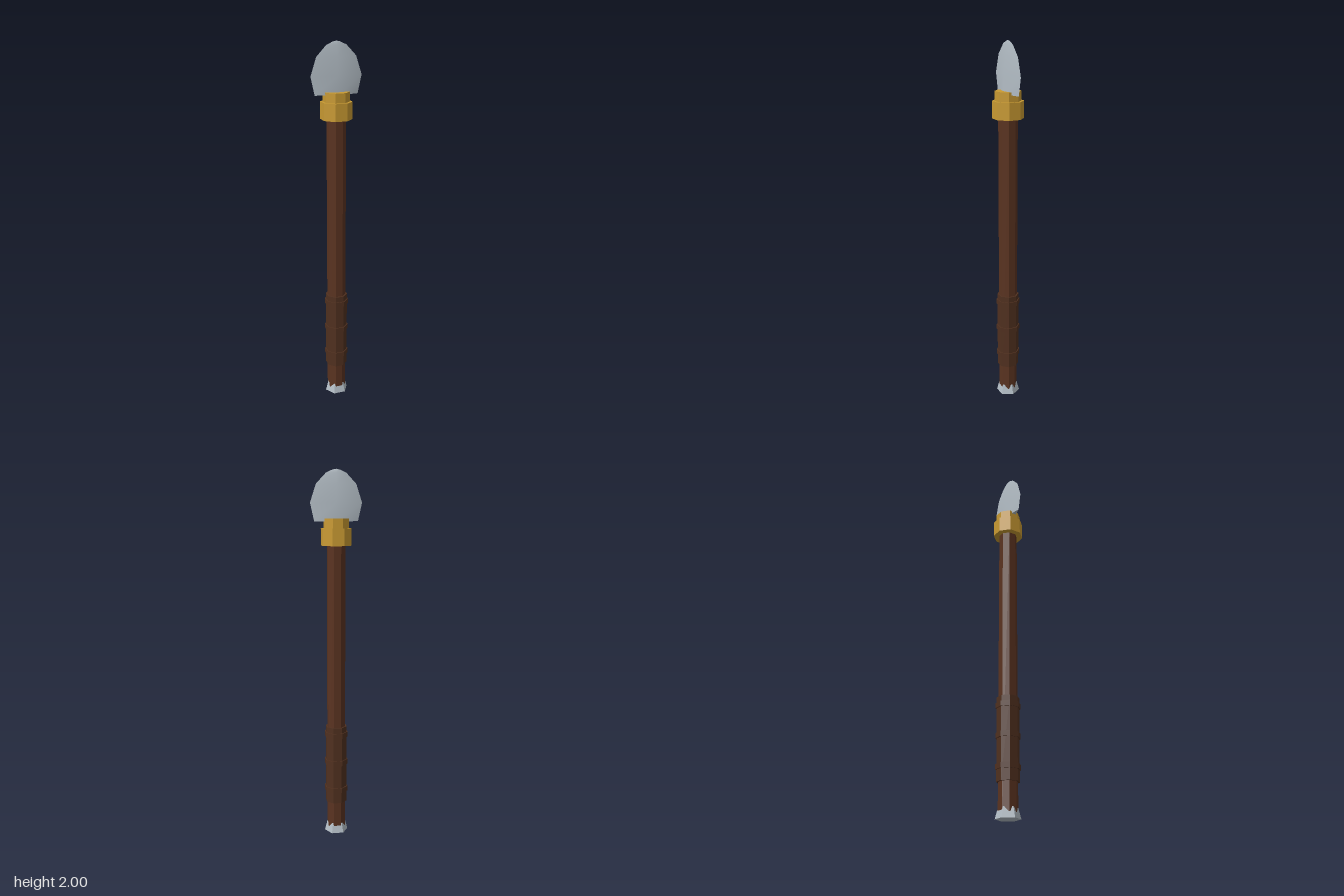
import * as THREE from 'three';

const material = (name, color, extra = {}) => {
  const m = new THREE.MeshStandardMaterial({ color, ...extra });
  m.name = name;
  return m;
};

// Straight or tapered prism between two heights
function prism(name, sides, turn, rTop, rBottom, y0, y1, mat) {
  const geo = new THREE.CylinderGeometry(rTop, rBottom, y1 - y0, sides).toNonIndexed();
  geo.rotateY(turn);
  geo.computeVertexNormals();
  const mesh = new THREE.Mesh(geo, mat);
  mesh.name = name;
  mesh.position.y = (y0 + y1) / 2;
  return mesh;
}

// Octagon with flats on the axes, sized by half its width across flats
function octagon(name, half, y0, y1, mat) {
  const r = half / Math.cos(Math.PI / 8);
  return prism(name, 8, Math.PI / 8, r, r, y0, y1, mat);
}

// One blade face: rows of left edge, ridge, right edge, closing at the tip
function bladeFace(sections, side) {
  const pos = [], index = [];
  for (const [y, w, d] of sections) pos.push(-w * side, y, 0, 0, y, d * side, w * side, y, 0);
  const tip = pos.length / 3;
  pos.push(0, 2, 0);
  sections.forEach((_, i) => {
    for (let k = 0; k < 2; k++) {
      const a = i * 3 + k, b = a + 1;
      if (i === sections.length - 1) index.push(a, b, tip);
      else index.push(a, b, b + 3, a, b + 3, a + 3);
    }
  });
  const geo = new THREE.BufferGeometry();
  geo.setAttribute('position', new THREE.Float32BufferAttribute(pos, 3));
  geo.setIndex(index);
  geo.computeVertexNormals();
  return geo;
}

export function createModel() {
  const wood = material('dark wood', 0x5a3320);
  const leather = material('brown leather', 0x50301f);
  const gold = material('gold', 0xc99a32);
  const steel = material('steel', 0xb2bcc4);

  const model = new THREE.Group();
  model.name = 'spear';

  // Shaft and wrapped grip
  model.add(octagon('shaft', 0.047, 0.03, 1.63, wood));
  model.add(octagon('grip', 0.055, 0.18, 0.62, leather));
  for (const y of [0.255, 0.415, 0.575]) model.add(octagon('gripBand', 0.06, y - 0.014, y + 0.014, leather));

  // Flared foot cap
  model.add(prism('footCap', 6, Math.PI / 6, 0.05, 0.065, 0, 0.055, steel));

  // Stepped collar
  model.add(octagon('collar', 0.077, 1.61, 1.7, gold));
  model.add(octagon('socket', 0.064, 1.7, 1.75, gold));

  // Blade: height, half width, half thickness
  const sections = [
    [1.735, 0.116, 0.03],
    [1.83, 0.137, 0.024],
    [1.925, 0.106, 0.015],
    [1.98, 0.054, 0.007],
    [1.996, 0.02, 0.003],
  ];
  const blade = new THREE.Group();
  blade.name = 'blade';
  for (const side of [1, -1]) {
    const face = new THREE.Mesh(bladeFace(sections, side), steel);
    face.name = side > 0 ? 'bladeFront' : 'bladeBack';
    blade.add(face);
  }
  // Diamond underside
  const [y, w, d] = sections[0];
  const diamond = new THREE.Shape([[w, 0], [0, d], [-w, 0], [0, -d]].map(p => new THREE.Vector2(...p)));
  const base = new THREE.Mesh(new THREE.ShapeGeometry(diamond).rotateX(Math.PI / 2), steel);
  base.name = 'bladeBase';
  base.position.y = y;
  blade.add(base);
  model.add(blade);

  return model;
}
